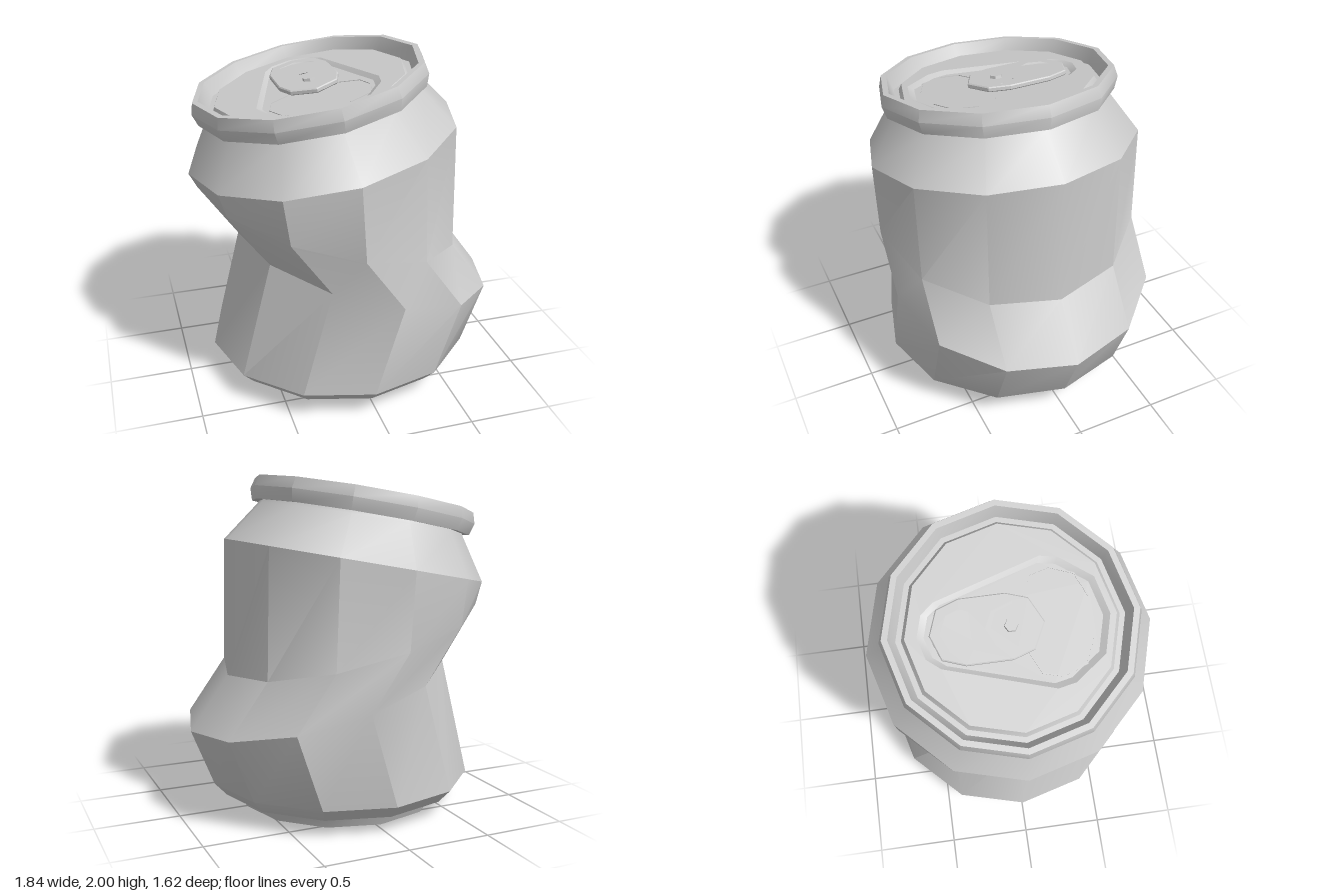
import * as THREE from 'three';
import { toCreasedNormals } from 'three/addons/utils/BufferGeometryUtils.js';

const SIDES = 12;
const material = new THREE.MeshStandardMaterial({ color: 0xcccccc });

// Twelve-sided ring around (cx, cy), tilted sideways by angle
function ring(r, cy, cx = 0, angle = 0) {
  return Array.from({ length: SIDES }, (_, i) => {
    const t = (i / SIDES) * Math.PI * 2;
    const u = Math.cos(t) * r;
    return [cx + u * Math.cos(angle), cy + u * Math.sin(angle), Math.sin(t) * r];
  });
}

// Skin through equal-length closed loops of points
function loft(loops, crease = Math.PI / 6) {
  const n = loops[0].length, pos = [];
  const tri = (a, b, c) => {
    const [p, q, s] = [a, b, c].map((v) => new THREE.Vector3(...v));
    if (q.sub(p).cross(s.sub(p)).length() > 1e-7) pos.push(...a, ...b, ...c);
  };
  for (let i = 0; i < loops.length - 1; i++) {
    for (let j = 0; j < n; j++) {
      const k = (j + 1) % n, lo = loops[i], hi = loops[i + 1];
      tri(lo[j], hi[j], lo[k]);
      tri(lo[k], hi[j], hi[k]);
    }
  }
  const g = new THREE.BufferGeometry();
  g.setAttribute('position', new THREE.Float32BufferAttribute(pos, 3));
  return toCreasedNormals(g, crease);
}

// Mirror a half outline of [x, z] points running from back to front
function mirror(half) {
  return [...half, ...half.slice(1, -1).reverse().map(([x, z]) => [-x, z])];
}

const toShape = (pts, Type = THREE.Shape) => new Type(pts.map(([x, z]) => new THREE.Vector2(x, -z)));

function add(parent, name, geometry, y = 0) {
  const mesh = new THREE.Mesh(geometry, material);
  mesh.name = name;
  mesh.position.y = y;
  parent.add(mesh);
  return mesh;
}

// Flat outline lying in the lid plane, extruded upward when depth is given
function plate(shape, depth = 0, bevel = 0) {
  const g = depth
    ? new THREE.ExtrudeGeometry(shape, {
      depth, bevelEnabled: bevel > 0, bevelSize: bevel, bevelThickness: bevel,
      bevelOffset: -bevel, bevelSegments: 1,
    })
    : new THREE.ShapeGeometry(shape);
  return g.rotateX(-Math.PI / 2);
}

function createLid() {
  const lid = new THREE.Group();
  lid.name = 'lid';

  // Rolled rim and the channel inside it
  const rim = [[0.63, -0.07], [0.678, -0.073], [0.7, 0], [0.681, 0.066], [0.648, 0.066],
    [0.615, -0.025], [0.585, -0.025], [0.565, 0.01]];
  add(lid, 'rim', loft(rim.map(([r, y]) => ring(r, y)), 0.7));

  // Panel with a teardrop recess
  const tear = mirror([[0, -0.5], [0.12, -0.465], [0.18, -0.39], [0.36, 0.2], [0.34, 0.3],
    [0.21, 0.475], [0, 0.53]]);
  const inner = tear.map(([x, z]) => [x * 0.91, 0.02 + (z - 0.02) * 0.93]);
  const panel = toShape(ring(0.565, 0).map(([x, , z]) => [x, z]));
  panel.holes.push(toShape(tear, THREE.Path));
  add(lid, 'panel', plate(panel), 0.01);
  const at = (pts, y) => pts.map(([x, z]) => [x, y, z]);
  add(lid, 'recessWall', loft([at(tear, 0.01), at(inner, -0.01)]));
  add(lid, 'recessFloor', plate(toShape(inner)), -0.01);

  // Scored line around the mouth
  const score = [[0.155, 0.075], [0.27, 0.13], [0.3, 0.24], [0.25, 0.375], [0.115, 0.435]];
  for (const side of [1, -1]) {
    const outer = score.map(([x, z]) => [x * side, z]);
    const inset = score.map(([x, z]) => [x * 0.975 * side, 0.24 + (z - 0.24) * 0.965]).reverse();
    add(lid, 'mouthScore', plate(toShape([...outer, ...inset]), 0.004), -0.01);
  }

  // Pull tab with finger hole and curved slot
  const tab = toShape(mirror([[0, -0.435], [0.135, -0.385], [0.18, -0.26], [0.18, -0.01],
    [0.14, 0.11], [0, 0.18]]));
  tab.holes.push(toShape(mirror([[0, -0.385], [0.1, -0.34], [0.13, -0.26], [0.105, -0.207],
    [0, -0.207]]), THREE.Path));
  tab.holes.push(toShape([[-0.14, 0.03], [-0.095, -0.1], [0, -0.145], [0.095, -0.1], [0.14, 0.03],
    [0.112, 0.03], [0.075, -0.07], [0, -0.1], [-0.075, -0.07], [-0.112, 0.03]], THREE.Path));
  add(lid, 'pullTab', plate(tab, 0.018, 0.006), 0.002);
  add(lid, 'rivet', toCreasedNormals(new THREE.CylinderGeometry(0.036, 0.045, 0.05, 6), 0.5), 0.017);
  return lid;
}

export function createModel() {
  const can = new THREE.Group();
  can.name = 'crushedCan';
  const baseX = -0.028;
  const lidX = -0.19, lidY = 1.815, lidTilt = 0.178;

  // Domed underside and standing foot
  const foot = [[0, 0.2], [0.3, 0.17], [0.5, 0.09], [0.575, 0], [0.61, 0], [0.65, 0.09], [0.735, 0.09]];
  add(can, 'base', loft(foot.map(([r, y]) => ring(r, y, baseX)), 0.55));

  // Wall buckled by two tilted folds, then the shoulder and neck
  const neck = (r, h) => ring(r, lidY + h * Math.cos(lidTilt), lidX - h * Math.sin(lidTilt), lidTilt);
  add(can, 'body', loft([
    ring(0.735, 0.09, baseX),
    ring(0.81, 0.17, baseX),
    ring(0.81, 0.715, 0.135, -0.256),
    ring(0.81, 1.04, -0.095, -0.264),
    ring(0.81, 1.485, -0.125, 0.181),
    neck(0.645, -0.09),
    neck(0.63, -0.06),
  ]));

  // Tilted lid
  const lid = createLid();
  lid.position.set(lidX, lidY, 0);
  lid.rotation.z = lidTilt;
  can.add(lid);
  return can;
}
